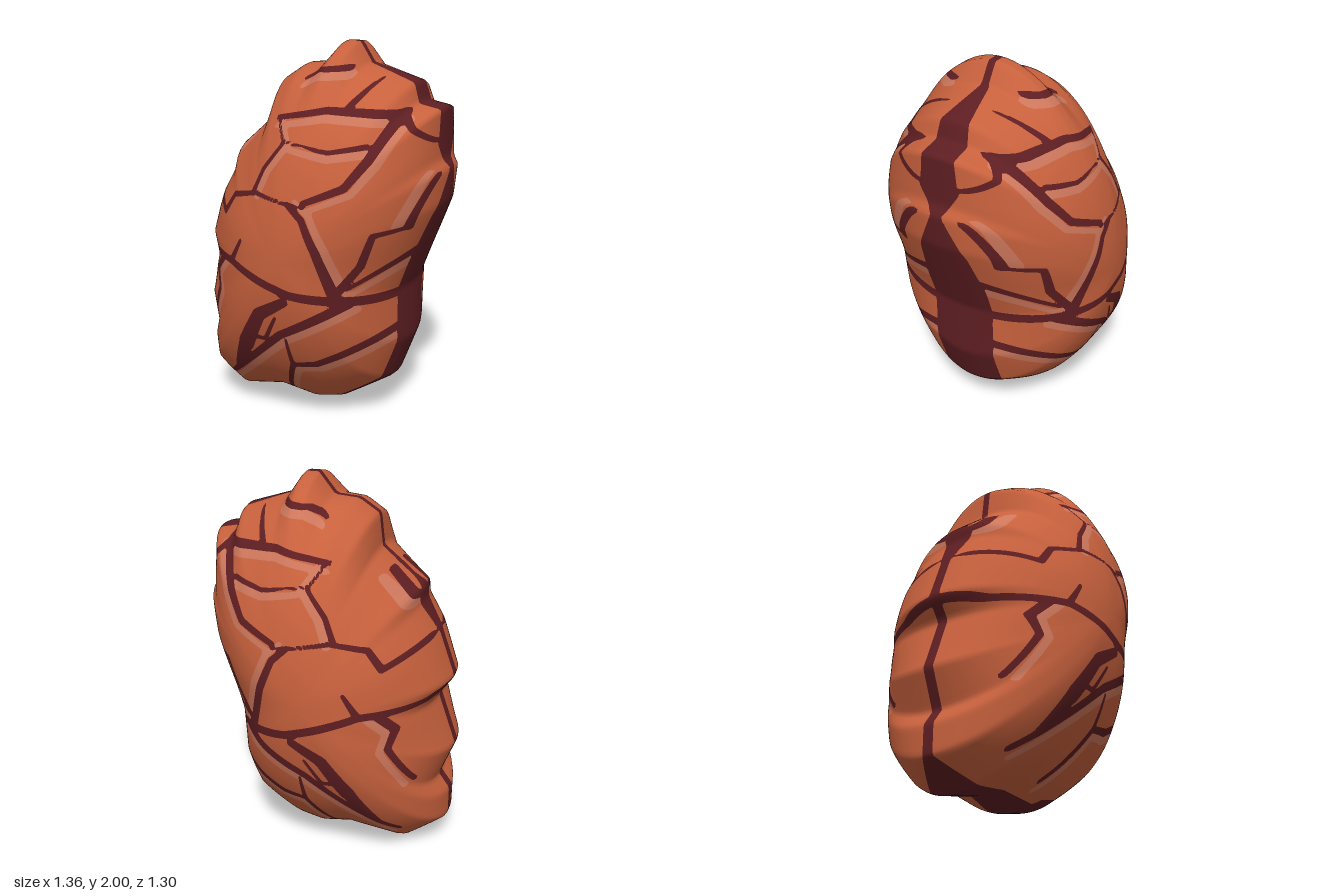
import * as THREE from 'three';

const RINGS = 70, AROUND = 260, DEPTH = 0.648, CENTRE = new THREE.Vector2(0, 0.95);

const toPoints = (n) => {
  const pts = [];
  for (let i = 0; i < n.length; i += 2) pts.push(new THREE.Vector2(n[i] / 100, n[i + 1] / 100));
  return pts;
};

// Silhouette of the boulder, clockwise from the top knob (hundredths)
const outline = toPoints([
  10, 200, 17, 200, 24, 189, 50, 181, 53, 171, 65, 169, 65, 143, 68, 138, 66, 120, 48, 74, 49, 44, 40, 20,
  14, 4, 0, 1, -20, 6, -47, 0, -66, 14, -66, 30, -60, 38, -68, 58, -58, 86, -66, 97, -57, 122, -48, 137,
  -48, 145, -25, 164, -23, 181, -12, 188, 1, 189]);

// Each crack tapers along its points; a worn edge follows on its left (1) or right (-1)
const cracks = [], highlights = [];
function crack(width, side, ...n) {
  const pts = toPoints(n);
  cracks.push({ width, pts });
  if (side === 0) return;
  const along = pts[pts.length - 1].clone().sub(pts[0]).normalize();
  const shift = new THREE.Vector2(-along.y, along.x).multiplyScalar(side * (width + 0.016));
  highlights.push({ width: 0.024, pts: pts.map((p) => p.clone().add(shift)) });
}

// middle cracks
crack(.026, 0, 50, 73, 6, 79, -30, 91, -57, 92, -68, 97);
crack(.018, 0, -30, 91, -23, 103);
crack(.022, 1, -38, 91, -46, 82, -43, 72, -54, 50);
crack(.018, 0, -55, 122, -39, 114, -32, 124, -15, 128, 13, 124);
crack(.026, -1, 27, 78, 20, 102, 13, 118, 5, 125);
// upper cracks
crack(.014, -1, -17, 128, -12, 140, -2, 153, -9, 164);
crack(.022, 1, 50, 167, 17, 169, -10, 164);
crack(.014, 1, 39, 153, 22, 150, -2, 154);
crack(.028, 1, 50, 167, 41, 147, 32, 134, 13, 126);
crack(.018, 0, 50, 167, 64, 153);
crack(.018, 0, 27, 171, 35, 183);
crack(.016, 1, 20, 188, 6, 187, -3, 182);
crack(.014, -1, -48, 142, -33, 156);
// right side cracks
crack(.02, 0, 27, 79, 38, 94, 44, 110, 56, 112);
crack(.016, 1, 56, 112, 66, 137);
crack(.018, 1, 60, 100, 51, 94, 32, 82);
// lower cracks
crack(.026, 1, 32, 74, -2, 55, -33, 28, -46, 17);
crack(.045, 0, -24, 46, -12, 66, 3, 75);
crack(.042, 0, -24, 46, -36, 26);
crack(.016, 0, -20, 52, -11, 51, -3, 65);
crack(.022, 1, 50, 56, 14, 38, 1, 36, -11, 11);
crack(.014, 0, 1, 36, 1, 53);

// Dark seam round the rim: half width in z against height, for each side
const seamRight = toPoints([0, 18, 90, 18, 115, 14, 138, 3, 150, 11, 180, 8, 190, 2]);
const seamLeft = toPoints([0, 17, 14, 3, 120, 3, 140, 9, 150, 2]);

function lookUp(table, y) {
  const i = table.findIndex((p) => p.x > y);
  if (i < 1) return table[i === 0 ? 0 : table.length - 1].y;
  const a = table[i - 1], b = table[i];
  return THREE.MathUtils.mapLinear(y, a.x, b.x, a.y, b.y);
}

// Signed cover: positive inside any stroke
function cover(strokes, x, y) {
  let best = -1;
  for (const { width, pts } of strokes) {
    for (let i = 0; i < pts.length - 1; i++) {
      const a = pts[i], b = pts[i + 1], dx = b.x - a.x, dy = b.y - a.y;
      const f = THREE.MathUtils.clamp(((x - a.x) * dx + (y - a.y) * dy) / (dx * dx + dy * dy), 0, 1);
      const w = width * (1 - 0.45 * (i + f) / (pts.length - 1));
      best = Math.max(best, w - Math.hypot(x - a.x - f * dx, y - a.y - f * dy));
    }
  }
  return best;
}

// Front half: rings grow from a smooth core to the lumpy rim
function buildHalf() {
  const shape = new THREE.Shape(outline);
  shape.closePath();
  const rim = shape.getSpacedPoints(AROUND).slice(0, AROUND);
  const soft = rim.map((_, i) => {
    const sum = new THREE.Vector2();
    for (let k = -12; k <= 12; k++) sum.add(rim[(i + k + AROUND) % AROUND]);
    return sum.divideScalar(25);
  });
  const pos = [], index = [];
  for (let k = 0; k <= RINGS; k++) {
    const phi = k / RINGS * Math.PI / 2, t = Math.sin(phi);
    for (let i = 0; i < AROUND; i++) {
      const p = soft[i].clone().lerp(rim[i], t ** 4).sub(CENTRE).multiplyScalar(t).add(CENTRE);
      pos.push(p.x, p.y, k === RINGS ? 0 : DEPTH * Math.cos(phi));
      if (k === RINGS) continue;
      const a = k * AROUND + i, b = k * AROUND + (i + 1) % AROUND;
      if (k > 0) index.push(a, b, b + AROUND);
      index.push(a, b + AROUND, a + AROUND);
    }
  }
  const geo = new THREE.BufferGeometry();
  geo.setAttribute('position', new THREE.Float32BufferAttribute(pos, 3));
  geo.setIndex(index);
  geo.computeVertexNormals();
  return geo;
}

// Cut a polygon where a field changes sign, keeping the part with that sign
function clip(poly, field, sign) {
  const out = [];
  poly.forEach((a, i) => {
    const b = poly[(i + 1) % poly.length], fa = a[field] * sign, fb = b[field] * sign;
    if (fa >= 0) out.push(a);
    if ((fa >= 0) !== (fb >= 0)) {
      const f = fa / (fa - fb);
      out.push({
        p: a.p.clone().lerp(b.p, f), n: a.n.clone().lerp(b.n, f).normalize(),
        dark: THREE.MathUtils.lerp(a.dark, b.dark, f), light: THREE.MathUtils.lerp(a.light, b.light, f),
      });
    }
  });
  return out;
}

// Collects polygons and their mirror images across z
class Surface {
  constructor() { this.pos = []; this.nor = []; }
  add(poly) {
    for (let i = 1; i < poly.length - 1; i++) {
      for (const s of [1, -1]) {
        const tri = s > 0 ? [poly[0], poly[i], poly[i + 1]] : [poly[0], poly[i + 1], poly[i]];
        for (const { p, n } of tri) {
          this.pos.push(p.x, p.y, p.z * s);
          this.nor.push(n.x, n.y, n.z * s);
        }
      }
    }
  }
  mesh(name, color) {
    const geo = new THREE.BufferGeometry();
    geo.setAttribute('position', new THREE.Float32BufferAttribute(this.pos, 3));
    geo.setAttribute('normal', new THREE.Float32BufferAttribute(this.nor, 3));
    const material = new THREE.MeshStandardMaterial({ color });
    material.name = name + 'Colour';
    const mesh = new THREE.Mesh(geo, material);
    mesh.name = name;
    return mesh;
  }
}

export function createModel() {
  const half = buildHalf(), P = half.attributes.position, N = half.attributes.normal;
  const verts = [];
  for (let i = 0; i < P.count; i++) {
    const p = new THREE.Vector3().fromBufferAttribute(P, i), n = new THREE.Vector3().fromBufferAttribute(N, i);
    if (i >= RINGS * AROUND) n.setZ(0).normalize();
    const seam = lookUp(p.x > 0 ? seamRight : seamLeft, p.y) - p.z;
    verts.push({ p, n, dark: Math.max(cover(cracks, p.x, p.y), seam), light: cover(highlights, p.x, p.y) });
  }

  // Share the surface between stone, cracks and worn edges
  const stone = new Surface(), split = new Surface(), worn = new Surface(), ix = half.index.array;
  for (let i = 0; i < ix.length; i += 3) {
    const tri = [verts[ix[i]], verts[ix[i + 1]], verts[ix[i + 2]]];
    split.add(clip(tri, 'dark', 1));
    const rest = clip(tri, 'dark', -1);
    worn.add(clip(rest, 'light', 1));
    stone.add(clip(rest, 'light', -1));
  }

  const group = new THREE.Group();
  group.name = 'crackedBoulder';
  group.add(stone.mesh('stone', 0xc8613d), split.mesh('cracks', 0x5e1e22), worn.mesh('wornEdges', 0xcd775c));
  return group;
}
